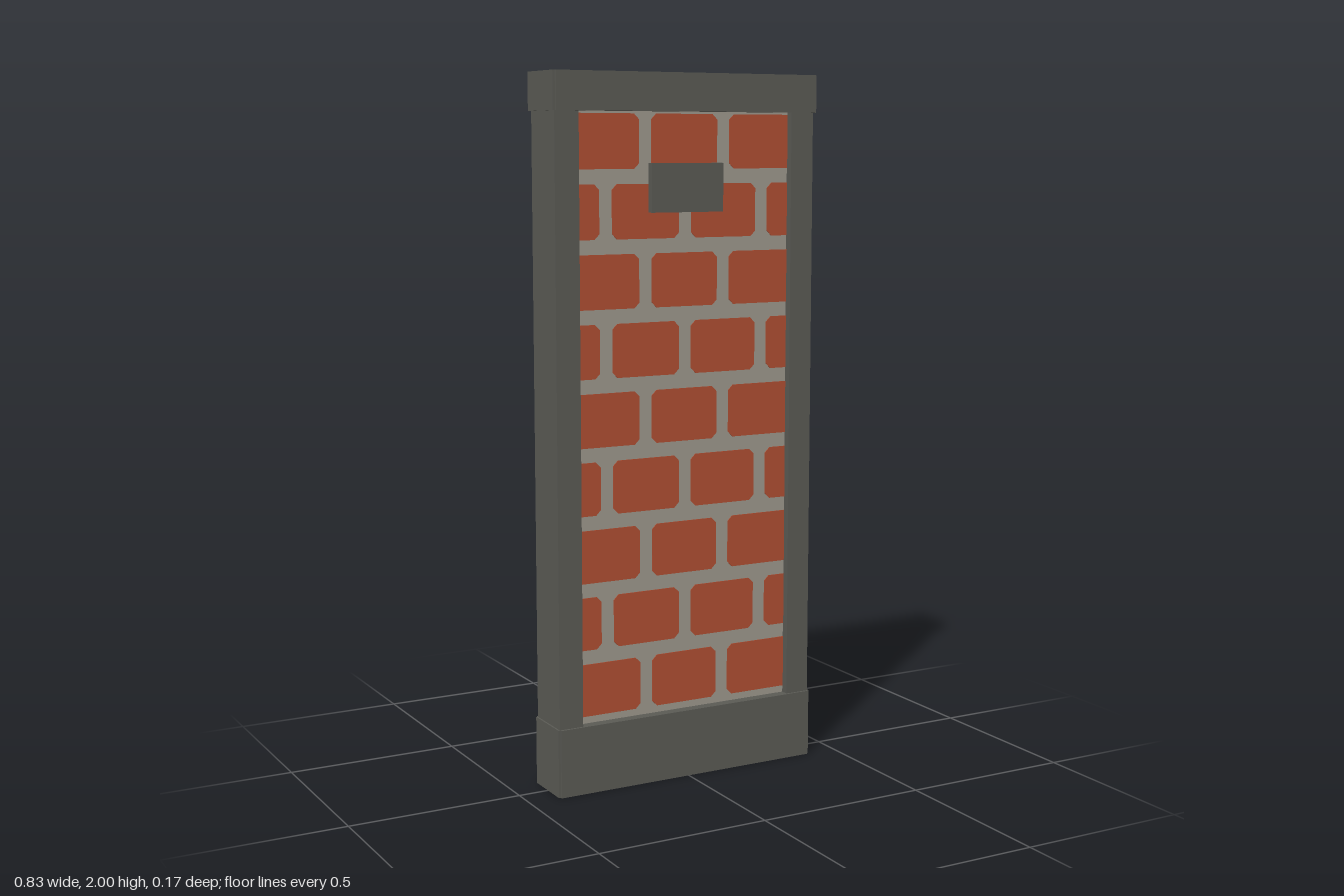
import * as THREE from 'three';

const mat = (name, color) => {
  const m = new THREE.MeshStandardMaterial({ color });
  m.name = name;
  return m;
};

export function createModel() {
  const group = new THREE.Group();
  const stone = mat('dark stone', 0x5a5a54);
  const mortar = mat('mortar grey', 0x9d988d);
  const brickRed = mat('brick red', 0xb04f33);

  const add = (name, geometry, material, parent = group) => {
    const mesh = new THREE.Mesh(geometry, material);
    mesh.name = name;
    parent.add(mesh);
    return mesh;
  };
  const box = (name, x0, x1, y0, y1, z0, z1, material, parent) =>
    add(name, new THREE.BoxGeometry(x1 - x0, y1 - y0, z1 - z0), material, parent)
      .position.set((x0 + x1) / 2, (y0 + y1) / 2, (z0 + z1) / 2);

  // Slab with small square notches along its four upright corners
  const notchedSlab = (name, x, z, notch, y0, y1) => {
    const a = x - notch, b = z - notch;
    const outline = [
      [x, -b], [x, b], [a, b], [a, z], [-a, z], [-a, b],
      [-x, b], [-x, -b], [-a, -b], [-a, -z], [a, -z], [a, -b],
    ].map(([px, pz]) => new THREE.Vector2(px, pz));
    const g = new THREE.ExtrudeGeometry(new THREE.Shape(outline), { depth: y1 - y0, bevelEnabled: false });
    g.rotateX(-Math.PI / 2);
    add(name, g, stone).position.y = y0;
  };

  // Frame: base, cap and side posts
  notchedSlab('base', 0.412, 0.08, 0.006, 0, 0.195);
  notchedSlab('cap', 0.414, 0.086, 0.007, 1.895, 2);
  for (const s of [-1, 1]) {
    const [x0, x1] = s > 0 ? [0.335, 0.407] : [-0.407, -0.335];
    box(s > 0 ? 'leftPost' : 'rightPost', x0, x1, 0.19, 1.9, -0.073, 0.073, stone);
  }

  // Recessed mortar panel
  box('mortarPanel', -0.34, 0.34, 0.19, 1.9, -0.05, 0.05, mortar);

  // Brick face with clipped corners, trimmed where it runs behind a post
  const brickShape = (cx, cy) => {
    const x0 = Math.max(cx - 0.104, -0.36), x1 = Math.min(cx + 0.104, 0.36);
    const y0 = cy - 0.075, y1 = cy + 0.075, c = 0.015;
    return new THREE.Shape([
      [x0 + c, y0], [x1 - c, y0], [x1, y0 + c], [x1, y1 - c],
      [x1 - c, y1], [x0 + c, y1], [x0, y1 - c], [x0, y0 + c],
    ].map(([x, y]) => new THREE.Vector2(x, y)));
  };
  const shapes = [];
  for (let row = 0; row < 9; row++) {
    const columns = row % 2 ? [-0.369, -0.122, 0.125, 0.372] : [-0.247, 0, 0.247];
    for (const x of columns) shapes.push(brickShape(x, 0.29 + row * 0.1905));
  }
  const bricks = new THREE.ExtrudeGeometry(shapes, { depth: 0.003, bevelEnabled: false });

  // Both faces carry bricks and a blank plaque
  for (const side of ['front', 'back']) {
    const face = new THREE.Group();
    face.name = side + 'Face';
    face.rotation.y = side === 'back' ? Math.PI : 0;
    group.add(face);
    add(side + 'Bricks', bricks, brickRed, face).position.z = 0.049;
    box(side + 'Plaque', -0.113, 0.113, 1.62, 1.755, 0.045, 0.071, stone, face);
  }
  return group;
}
